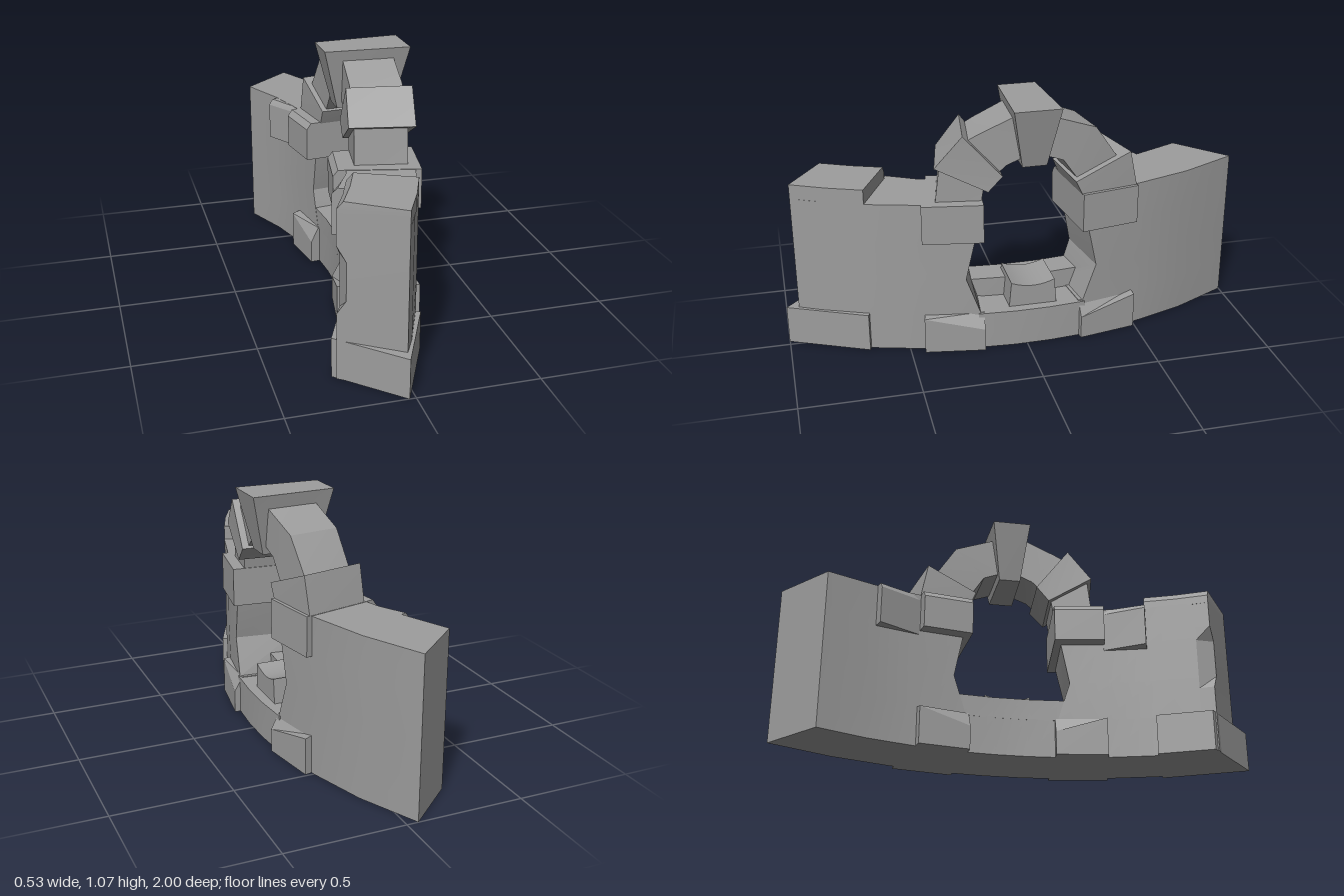
import * as THREE from 'three';
import { toCreasedNormals } from 'three/addons/utils/BufferGeometryUtils.js';

const CENTRE = -1.78; // x of the axis the wall curves around
const OUTER = 2;      // radius of the convex face
const lerp = THREE.MathUtils.lerp;
const material = new THREE.MeshStandardMaterial({ color: 0x9d9d9d });

// A box bent around the axis. Each row is [[z, y], [z, y], [xIn, xOut, xIn at +z], skewMinus, skewPlus]:
// its -z and +z ends on the convex side, its depth, and a shift of the inner end corners.
function stone(name, rows, depth, segs = 1) {
  const geo = new THREE.BoxGeometry(1, 1, 1, 1, rows.length - 1, segs);
  const p = geo.attributes.position;
  for (let i = 0; i < p.count; i++) {
    const [m, q, d = depth, skewM = 0, skewP = 0] = rows[Math.round((p.getY(i) + 0.5) * (rows.length - 1))];
    const w = p.getZ(i) + 0.5;
    const inner = p.getX(i) < 0;
    const z = lerp(m[0] + (inner ? skewM : 0), q[0] + (inner ? skewP : 0), w);
    const r = (inner ? lerp(d[0], d[2] ?? d[0], w) : d[1]) - CENTRE;
    const a = Math.asin(z / OUTER);
    p.setXYZ(i, CENTRE + r * Math.cos(a), lerp(m[1], q[1], w), r * Math.sin(a));
  }
  const mesh = new THREE.Mesh(toCreasedNormals(geo, 0.35), material);
  mesh.name = name;
  return mesh;
}

// Level row between two z values
const row = (y, z0, z1, d, skewM, skewP) => [[z0, y], [z1, y], d, skewM, skewP];

export function createModel() {
  const g = new THREE.Group();
  g.name = 'ruinedArchWall';
  const wall = [-0.057, 0.22];

  // Wall on the +z side
  g.add(stone('frontWall', [
    row(0, 0.2, 0.86), row(0.165, 0.2, 0.86), row(0.33, 0.26, 0.86),
    row(0.51, 0.22, 0.86), row(0.675, 0.2, 0.86),
  ], wall, 3));

  // Its free end, with the inner corner chipped away
  const chip = [-0.057, 0.22, -0.018];
  g.add(stone('frontWallEnd', [
    row(0, 0.86, 0.95, wall, 0, -0.026), row(0.28, 0.86, 0.95, wall, 0, -0.026),
    row(0.34, 0.86, 0.95, chip, 0, -0.02), row(0.5, 0.86, 0.95, chip, 0, -0.02),
    row(0.56, 0.86, 0.95, wall, 0, -0.026), row(0.675, 0.86, 0.95, wall, 0, -0.026),
  ], wall));
  g.add(stone('frontWallCap', [
    row(0.67, 0.66, 0.95, wall, -0.03, -0.026), row(0.705, 0.66, 0.95, wall, -0.03, -0.026),
    row(0.738, 0.66, 0.95, [-0.03, 0.22], -0.03, -0.026),
  ], wall, 2));
  g.add(stone('frontBaseStone', [
    row(0, 0.662, 0.992, undefined, 0, -0.08), row(0.168, 0.662, 0.992, undefined, 0, -0.08),
  ], [-0.08, 0.24]));

  // Wall on the -z side
  g.add(stone('backWall', [
    row(0, -1, -0.25, wall, 0.06), row(0.165, -1, -0.25, wall, 0.06),
    row(0.33, -1, -0.31, wall, 0.06), row(0.51, -1, -0.27, wall, 0.06),
    row(0.675, -1, -0.25, wall, 0.06),
  ], wall, 3));

  // Dressed stones beside the opening: foot sloping down to it, and impost
  for (const [side, z0, z1, y0, y1] of [
    ['front', 0.185, 0.435, 0.1, 0.16], ['back', -0.485, -0.235, 0.16, 0.1],
  ]) {
    g.add(stone(side + 'FootStone', [
      row(0, z0, z1), [[z0, y0], [z1, y1]], row(0.167, z0, z1, [-0.06, 0.212]),
    ], [-0.095, 0.25]));
    g.add(stone(side + 'Impost', [
      row(0.508, z0, z1), row(0.65, z0, z1), row(0.677, z0, z1, [-0.09, 0.245]),
    ], [-0.11, 0.245]));
  }

  // Tapered stones on the concave face next to the imposts
  g.add(stone('frontInnerCourse', [
    row(0.48, 0.43, 0.635), row(0.65, 0.43, 0.635), row(0.674, 0.43, 0.635, [-0.05, 0.1, -0.09]),
  ], [-0.06, 0.1, -0.113]));
  g.add(stone('backInnerCourse', [
    row(0.49, -0.7, -0.48), row(0.65, -0.7, -0.48), row(0.674, -0.7, -0.48, [-0.085, 0.1, -0.045]),
  ], [-0.103, 0.1, -0.055]));

  // Window sill: low outer step, inner ledge
  g.add(stone('sill', [row(0, -0.26, 0.21), row(0.164, -0.26, 0.21)], [-0.055, 0.225], 3));
  g.add(stone('sillLedge', [row(0.16, -0.3, 0.25), row(0.25, -0.3, 0.25)], [-0.055, 0.07], 3));

  // Centre block on the sill with a scooped top
  const seat = new THREE.Shape();
  seat.moveTo(-0.07, 0.16);
  seat.lineTo(0.14, 0.16);
  seat.lineTo(0.13, 0.275);
  seat.quadraticCurveTo(0.035, 0.235, -0.06, 0.275);
  seat.closePath();
  const seatGeo = new THREE.ExtrudeGeometry(seat, { depth: 0.2, bevelEnabled: false, curveSegments: 10 });
  seatGeo.rotateY(Math.PI / 2).translate(-0.02, 0, 0);
  const seatMesh = new THREE.Mesh(toCreasedNormals(seatGeo, 0.35), material);
  seatMesh.name = 'scoopedSillBlock';
  g.add(seatMesh);

  // Arch stones; every row is an inner point and an outer point along the ring
  const thin = [-0.022, 0.195];
  g.add(stone('frontSpringer', [
    [[0.19, 0.67], [0.38, 0.67]], [[0.175, 0.76], [0.36, 0.83]],
  ], thin));
  g.add(stone('frontHaunch', [
    [[0.165, 0.725], [0.38, 0.835]], [[0.105, 0.79], [0.265, 0.97]],
  ], [-0.045, 0.225]));
  g.add(stone('frontCrownStone', [
    [[0.135, 0.78], [0.265, 0.93]], [[0.085, 0.825], [0.2, 0.965]], [[0, 0.86], [0.03, 1.04]],
  ], thin));
  g.add(stone('backCrownStone', [
    [[-0.06, 0.86], [-0.09, 1.025]], [[-0.16, 0.825], [-0.305, 0.95]], [[-0.235, 0.72], [-0.41, 0.8]],
  ], thin));
  g.add(stone('backSpringer', [
    [[-0.205, 0.735], [-0.45, 0.832]], [[-0.235, 0.672], [-0.485, 0.672]],
  ], [-0.045, 0.23]));
  g.add(stone('keystone', [
    row(0.815, -0.085, 0.02, [-0.04, 0.205]), row(1.072, -0.13, 0.065, [-0.1, 0.265]),
  ], thin));
  return g;
}
